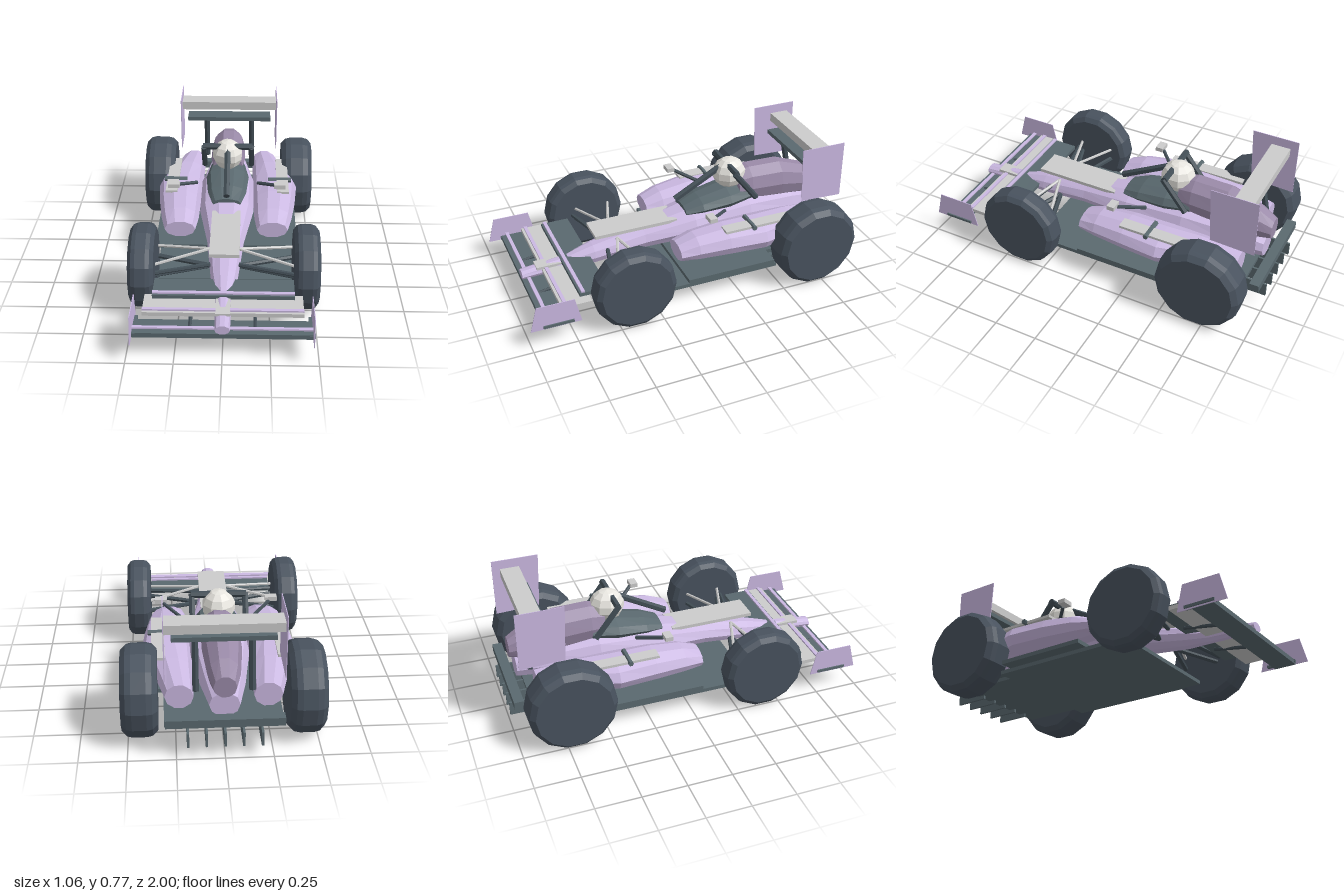
import * as THREE from 'three';

const paint = (color) => new THREE.MeshStandardMaterial({ color, flatShading: true, side: THREE.DoubleSide });
const LILAC = paint(0xcbb9e2), PLUM = paint(0x9a8aa8), DARK = paint(0x5a696f),
  RUBBER = paint(0x48525e), CARBON = paint(0x434f57), GREY = paint(0xcccccc), WHITE = paint(0xe8e6e0);

// Loft of ten-sided rings; each section is [z, centreX, centreY, halfWidth, halfHeight], front to back
function loft(sections, n = 10) {
  const pos = [], idx = [];
  const last = sections.length - 1;
  for (const [z, cx, cy, hw, hh] of sections) {
    for (let j = 0; j < n; j++) {
      const a = (j / n) * Math.PI * 2;
      pos.push(cx + hw * Math.cos(a), cy + hh * Math.sin(a), z);
    }
  }
  for (let i = 0; i < last; i++) {
    for (let j = 0; j < n; j++) {
      const k = (j + 1) % n, a = i * n + j, b = i * n + k;
      idx.push(a, a + n, b, b, a + n, b + n);
    }
  }
  for (let j = 1; j < n - 1; j++) {
    idx.push(0, j, j + 1, last * n, last * n + j + 1, last * n + j);
  }
  const g = new THREE.BufferGeometry();
  g.setAttribute('position', new THREE.Float32BufferAttribute(pos, 3));
  g.setIndex(idx);
  g.computeVertexNormals();
  return g;
}

// Box given by its limits on each axis
function block([x0, x1], [y0, y1], [z0, z1]) {
  return new THREE.BoxGeometry(x1 - x0, y1 - y0, z1 - z0)
    .translate((x0 + x1) / 2, (y0 + y1) / 2, (z0 + z1) / 2);
}

// Straight rod between two points
function rod(a, b, r, sides = 6) {
  const p = new THREE.Vector3(...a), q = new THREE.Vector3(...b);
  const d = q.clone().sub(p);
  const turn = new THREE.Quaternion().setFromUnitVectors(new THREE.Vector3(0, 1, 0), d.clone().normalize());
  const mid = p.add(q).multiplyScalar(0.5);
  return new THREE.CylinderGeometry(r, r, d.length(), sides)
    .applyQuaternion(turn).translate(mid.x, mid.y, mid.z);
}

// Thin plate in the side plane from [z, y] corners
function plate(corners, x) {
  const shape = new THREE.Shape(corners.map(([z, y]) => new THREE.Vector2(-z, y)));
  return new THREE.ExtrudeGeometry(shape, { depth: 0.004, bevelEnabled: false })
    .rotateY(Math.PI / 2).translate(x - 0.002, 0, 0);
}

// Tyre with chamfered shoulders and closed sides
function wheel(r, w) {
  const h = w / 2;
  const profile = [[0, -h], [r * 0.86, -h], [r * 0.97, -h * 0.72], [r, -h * 0.4],
    [r, h * 0.4], [r * 0.97, h * 0.72], [r * 0.86, h], [0, h]];
  return new THREE.LatheGeometry(profile.map(([x, y]) => new THREE.Vector2(x, y)), 14).rotateZ(Math.PI / 2);
}

export function createModel() {
  const car = new THREE.Group();
  car.name = 'racingCar';
  const add = (name, geometry, material) => {
    const m = new THREE.Mesh(geometry, material);
    m.name = name;
    car.add(m);
    return m;
  };
  const span = (w) => [-w, w];

  // Bodywork
  add('fuselage', loft([
    [0.925, 0, 0.17, 0.04, 0.026], [0.65, 0, 0.19, 0.045, 0.04], [0.5, 0, 0.215, 0.075, 0.06],
    [0.2, 0, 0.265, 0.105, 0.07], [-0.1, 0, 0.305, 0.16, 0.095], [-0.45, 0, 0.32, 0.165, 0.115],
    [-0.75, 0, 0.3, 0.12, 0.1], [-0.92, 0, 0.28, 0.08, 0.07]]), LILAC);
  add('engineCover', loft([
    [-0.4, 0, 0.46, 0.09, 0.11], [-0.48, 0, 0.47, 0.105, 0.12], [-0.68, 0, 0.46, 0.105, 0.125],
    [-0.86, 0, 0.42, 0.085, 0.1], [-0.95, 0, 0.4, 0.06, 0.06]]), PLUM);
  add('cockpitSurround', loft([
    [-0.06, 0, 0.38, 0.085, 0.03], [-0.16, 0, 0.4, 0.115, 0.05],
    [-0.33, 0, 0.42, 0.13, 0.065], [-0.48, 0, 0.43, 0.105, 0.06]]), DARK);
  add('nosePanel', block(span(0.083), [0.345, 0.365], [0, 0.5]), GREY);
  const helmet = add('helmet', new THREE.SphereGeometry(0.093, 9, 7), WHITE);
  helmet.position.set(0, 0.56, -0.365);
  helmet.scale.z = 1.08;

  // Underfloor and rear diffuser
  add('lowerFloor', block(span(0.39), [0.1, 0.122], [-0.5, 0.36]), DARK);
  add('lowerFloorTail', block(span(0.31), [0.1, 0.122], [-0.84, -0.5]), DARK);
  add('upperFloor', block(span(0.42), [0.145, 0.168], [-0.47, 0.065]), DARK);
  add('upperFloorTail', block(span(0.31), [0.145, 0.168], [-0.88, -0.47]), DARK);
  add('rearBar', block(span(0.305), [0.19, 0.235], [-0.99, -0.935]), DARK);
  for (let i = -2; i <= 2; i++) {
    const x = i * 0.095;
    add('diffuserFin', block([x - 0.006, x + 0.006], [0.08, 0.16], [-1, -0.8]), DARK);
  }

  // Front wing: three stepped planes with slim trim strips
  add('frontWingMain', block(span(0.47), [0.12, 0.147], [0.8, 0.925]), DARK);
  add('frontWingMiddle', block(span(0.425), [0.175, 0.197], [0.64, 0.81]), GREY);
  add('frontWingUpper', block(span(0.38), [0.207, 0.228], [0.53, 0.695]), DARK);
  [[0.47, 0.155, 0.89], [0.425, 0.197, 0.785], [0.38, 0.23, 0.675]].forEach(([w, y, z]) =>
    add('wingTrim', block(span(w), [y, y + 0.009], [z - 0.01, z + 0.01]), LILAC));
  add('frontWingMount', block(span(0.038), [0.197, 0.213], [0.64, 0.84]), GREY);

  // Rear wing
  add('rearWingMain', block(span(0.303), [0.677, 0.727], [-0.9, -0.79]), GREY);
  add('rearWingLower', block(span(0.265), [0.612, 0.637], [-0.86, -0.757]), DARK);

  // Halo front pillar and crossbar
  add('haloPillar', rod([0, 0.45, -0.02], [0, 0.625, -0.34], 0.02), CARBON);
  add('haloCrossbar', rod([-0.15, 0.62, -0.345], [0.15, 0.62, -0.345], 0.019), CARBON);

  // Mirrored parts
  for (const s of [-1, 1]) {
    const side = (a, b) => (s > 0 ? [a, b] : [-b, -a]);
    const arm = (name, a, b, r, mat) =>
      add(name, rod([s * a[0], a[1], a[2]], [s * b[0], b[1], b[2]], r), mat);

    add('frontWheel', wheel(0.237, 0.14), RUBBER).position.set(s * 0.45, 0.242, 0.408);
    add('rearWheel', wheel(0.25, 0.19), RUBBER).position.set(s * 0.435, 0.253, -0.707);

    add('sidePod', loft([
      [0.085, s * 0.27, 0.285, 0.09, 0.05], [-0.02, s * 0.275, 0.3, 0.11, 0.075],
      [-0.2, s * 0.285, 0.31, 0.125, 0.088], [-0.42, s * 0.29, 0.31, 0.138, 0.088],
      [-0.62, s * 0.26, 0.305, 0.105, 0.085], [-0.85, s * 0.23, 0.29, 0.075, 0.07]]), LILAC);
    add('podStrip', block(side(0.3, 0.372), [0.385, 0.4], [-0.64, -0.18]), GREY);
    arm('podBar', [0.25, 0.395, -0.35], [0.39, 0.395, -0.35], 0.015, DARK);

    add('mirror', block(side(0.28, 0.347), [0.463, 0.488], [-0.135, -0.09]), GREY);
    arm('mirrorStalk', [0.185, 0.42, -0.255], [0.3, 0.465, -0.135], 0.011, CARBON);
    arm('haloLeg', [0.145, 0.62, -0.335], [0.145, 0.44, -0.475], 0.018, CARBON);

    // Front suspension, upper and lower wishbones meeting at the body
    for (const z of [0.265, 0.48]) {
      arm('upperWishbone', [0.08, 0.325, 0.37], [0.4, 0.28, z], 0.009, GREY);
      arm('lowerWishbone', [0.08, 0.215, 0.37], [0.4, 0.215, z], 0.014, CARBON);
    }
    arm('pushRod', [0.08, 0.26, 0.43], [0.4, 0.24, 0.5], 0.012, CARBON);

    // Wing supports and end plates
    arm('frontWingStrut', [0.17, 0.19, 0.58], [0.17, 0.14, 0.87], 0.011, CARBON);
    arm('rearWingStrut', [0.145, 0.625, -0.8], [0.145, 0.33, -0.86], 0.019, CARBON);
    add('frontEndPlate', plate([[0.715, 0.122], [0.75, 0.27], [0.962, 0.27], [1, 0.122]], s * 0.47), LILAC);
    add('frontPlateVane', block(side(0.45, 0.48), [0.13, 0.145], [0.76, 0.93]), DARK);
    add('rearEndPlate', plate([[-0.692, 0.45], [-0.677, 0.78], [-0.945, 0.78], [-0.945, 0.44]], s * 0.303), LILAC);
  }
  return car;
}
